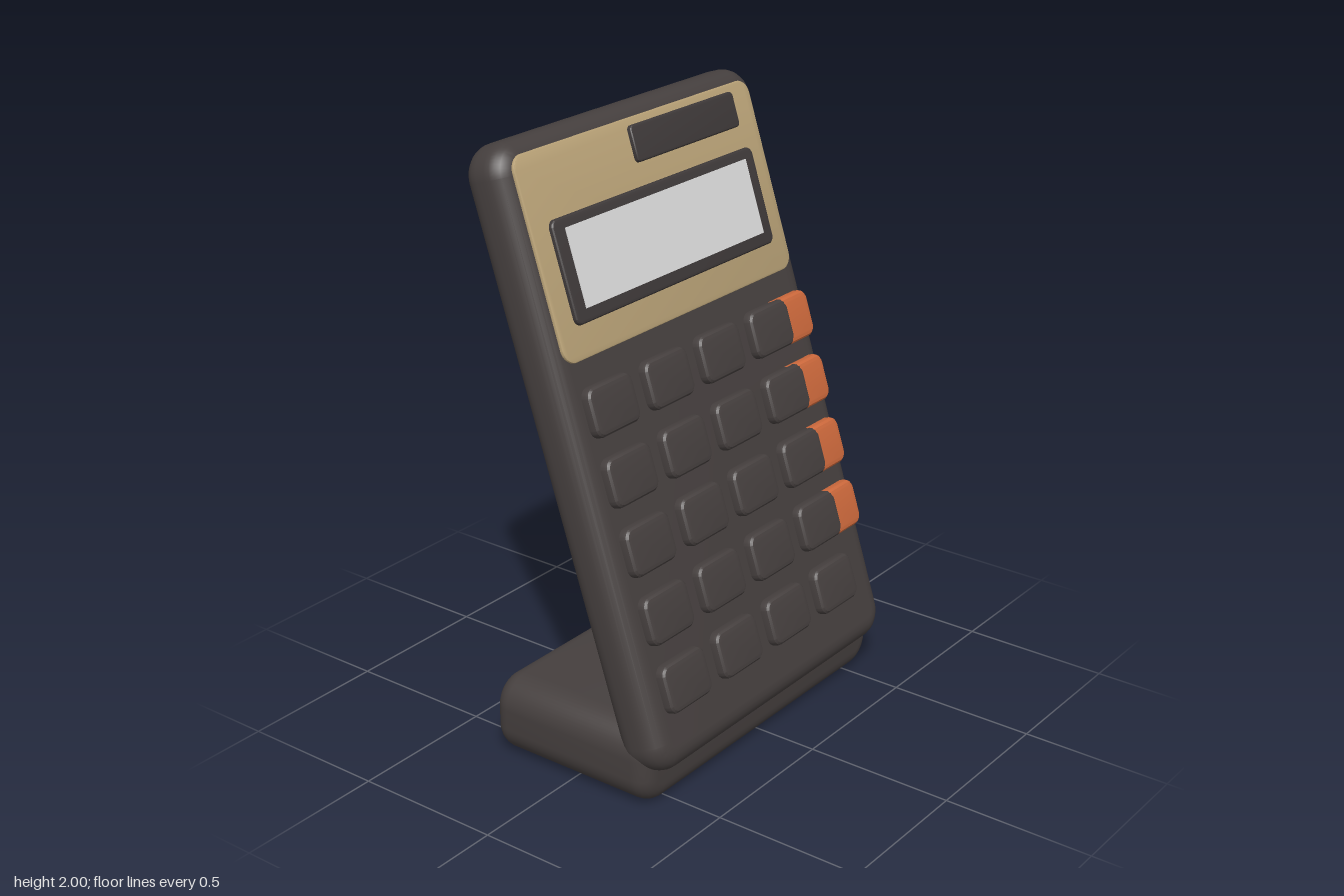
import * as THREE from 'three';
import { toCreasedNormals } from 'three/addons/utils/BufferGeometryUtils.js';

const paint = (name, color) => {
  const m = new THREE.MeshStandardMaterial({ color });
  m.name = name;
  return m;
};

// Rounded slab centred on the origin: corner radius r, softened edges of radius b
function slab(w, h, d, r, b, segments = 6) {
  const x = w / 2 - b, y = h / 2 - b, c = Math.max(r - b, 0.005);
  const s = new THREE.Shape();
  s.moveTo(-x + c, -y);
  s.lineTo(x - c, -y);
  s.absarc(x - c, -y + c, c, -Math.PI / 2, 0);
  s.lineTo(x, y - c);
  s.absarc(x - c, y - c, c, 0, Math.PI / 2);
  s.lineTo(-x + c, y);
  s.absarc(-x + c, y - c, c, Math.PI / 2, Math.PI);
  s.lineTo(-x, -y + c);
  s.absarc(-x + c, -y + c, c, Math.PI, Math.PI * 1.5);
  const g = new THREE.ExtrudeGeometry(s, {
    depth: d - 2 * b, bevelSize: b, bevelThickness: b,
    bevelSegments: segments, curveSegments: 6,
  });
  g.translate(0, 0, b - d / 2);
  return toCreasedNormals(g, 0.5);
}

export function createModel() {
  const body = paint('charcoal body', 0x453f3e);
  const trim = paint('dark trim', 0x3e3939);
  const gold = paint('gold', 0xb9a277);
  const orange = paint('orange', 0xcd693c);
  const glass = paint('pale screen', 0xdadada);

  const model = new THREE.Group();
  const add = (parent, name, geometry, material, x, y, z) => {
    const m = new THREE.Mesh(geometry, material);
    m.name = name;
    m.position.set(x, y, z);
    parent.add(m);
    return m;
  };

  // Block the panel leans out of
  add(model, 'base', slab(1.25, 0.265, 0.62, 0.1, 0.06), body, 0, 0.1325, 0);

  // Tilted panel; everything on its face is placed in its own frame
  const panel = new THREE.Group();
  panel.name = 'tiltedPanel';
  panel.position.y = 1.055;
  panel.rotation.x = -Math.PI / 10;
  model.add(panel);
  add(panel, 'case', slab(1.25, 1.97, 0.17, 0.1, 0.068), body, 0, 0, 0);

  // Face plate, display and solar strip
  add(panel, 'facePlate', slab(1.15, 0.63, 0.03, 0.05, 0.006, 2), gold, 0, 0.623, 0.077);
  add(panel, 'displayFrame', slab(0.995, 0.32, 0.04, 0.025, 0.01, 3), trim, 0, 0.568, 0.087);
  add(panel, 'screen', new THREE.BoxGeometry(0.895, 0.245, 0.006), glass, 0, 0.573, 0.107);
  add(panel, 'solarStrip', slab(0.525, 0.115, 0.04, 0.015, 0.008, 3), trim, 0.207, 0.857, 0.087);

  // Keypad: four columns, five rows, with an orange key overlapping the last column
  const key = slab(0.21, 0.157, 0.07, 0.035, 0.018, 3);
  for (let row = 0; row < 5; row++) {
    const y = 0.15 - 0.22 * row;
    for (let col = 0; col < 4; col++) {
      add(panel, 'key', key, body, -0.44 + 0.27 * col, y, 0.083);
    }
    if (row < 4) add(panel, 'orangeKey', key, orange, 0.48, y, 0.082);
  }
  return model;
}
